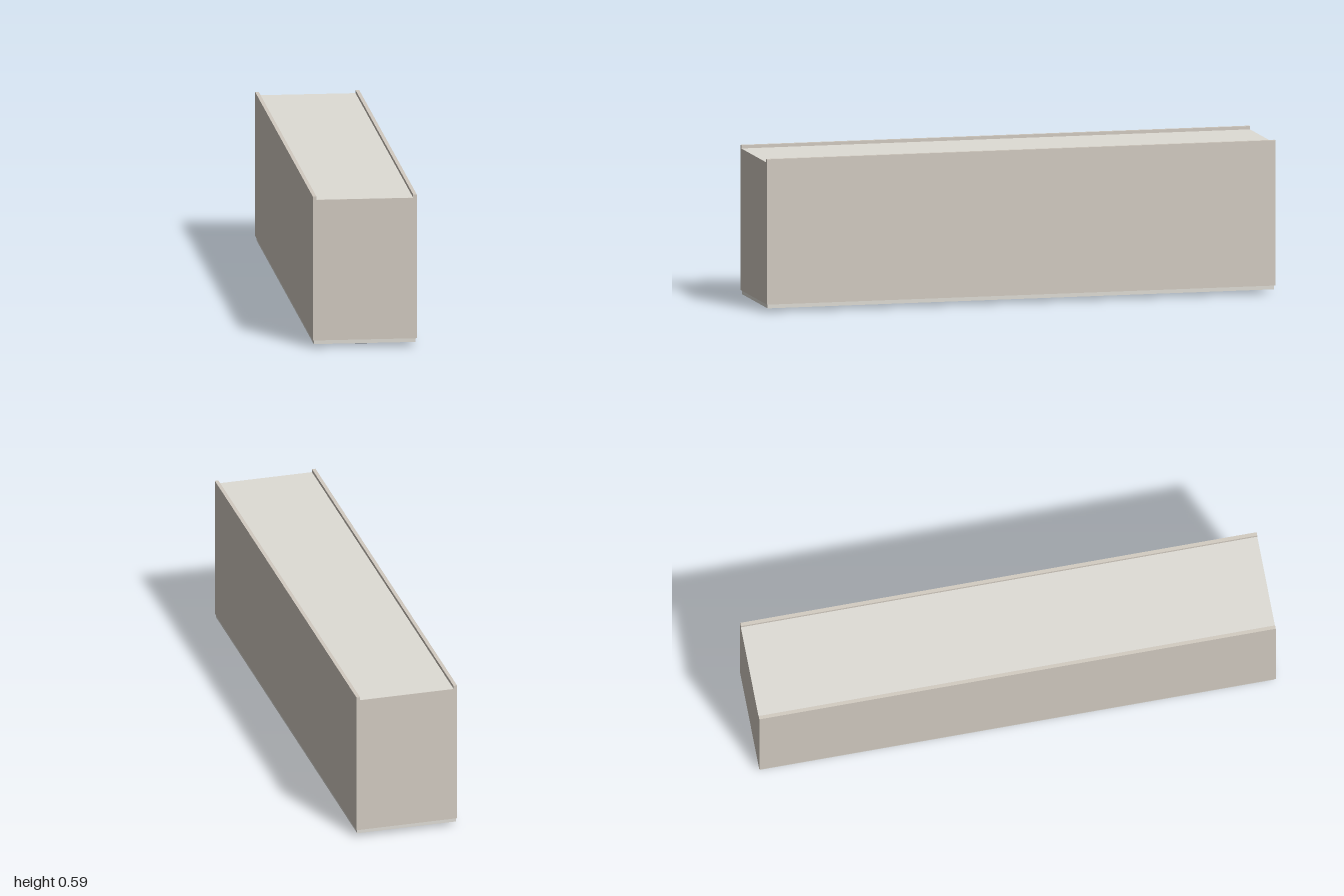
import * as THREE from 'three';

const mat = (color) => new THREE.MeshStandardMaterial({ color });

export function createModel() {
  const group = new THREE.Group();
  const beige = mat(0xd2cbc1);
  const pale = mat(0xdedcd5);
  const dark = mat(0x77777a);

  const add = (name, geometry, material, x, y, z) => {
    const mesh = new THREE.Mesh(geometry, material);
    mesh.name = name;
    mesh.position.set(x, y, z);
    group.add(mesh);
    return mesh;
  };

  // Long housing: one cross-section with a raised rim along each top edge
  const W = 0.199, RIM = 0.185, BASE = 0.029, TOP = 0.575, RIM_TOP = 0.588;
  const profile = new THREE.Shape([
    [-W, BASE], [W, BASE], [W, RIM_TOP], [RIM, RIM_TOP],
    [RIM, TOP], [-RIM, TOP], [-RIM, RIM_TOP], [-W, RIM_TOP],
  ].map(([x, y]) => new THREE.Vector2(x, y)));
  add('housing', new THREE.ExtrudeGeometry(profile, { depth: 2, bevelEnabled: false }), beige, 0, 0, -1);

  // Pale top sheet lying between the rims
  const sheet = new THREE.PlaneGeometry(RIM * 2, 2).rotateX(-Math.PI / 2);
  add('topPanel', sheet, pale, 0, TOP + 0.0006, 0);

  // Slightly inset bottom cover
  add('bottomCover', new THREE.BoxGeometry(0.39, 0.015, 1.992), pale, 0, 0.0215, 0);

  // Small round-ended latch under the front end
  const half = 0.047, r = 0.008;
  const slot = new THREE.Shape();
  slot.absarc(half - r, 0, r, -Math.PI / 2, Math.PI / 2);
  slot.absarc(-half + r, 0, r, Math.PI / 2, Math.PI * 1.5);
  const latch = new THREE.ExtrudeGeometry(slot, { depth: 0.015, bevelEnabled: false, curveSegments: 10 });
  add('latch', latch.rotateX(-Math.PI / 2), dark, 0, 0, 0.925);

  return group;
}
